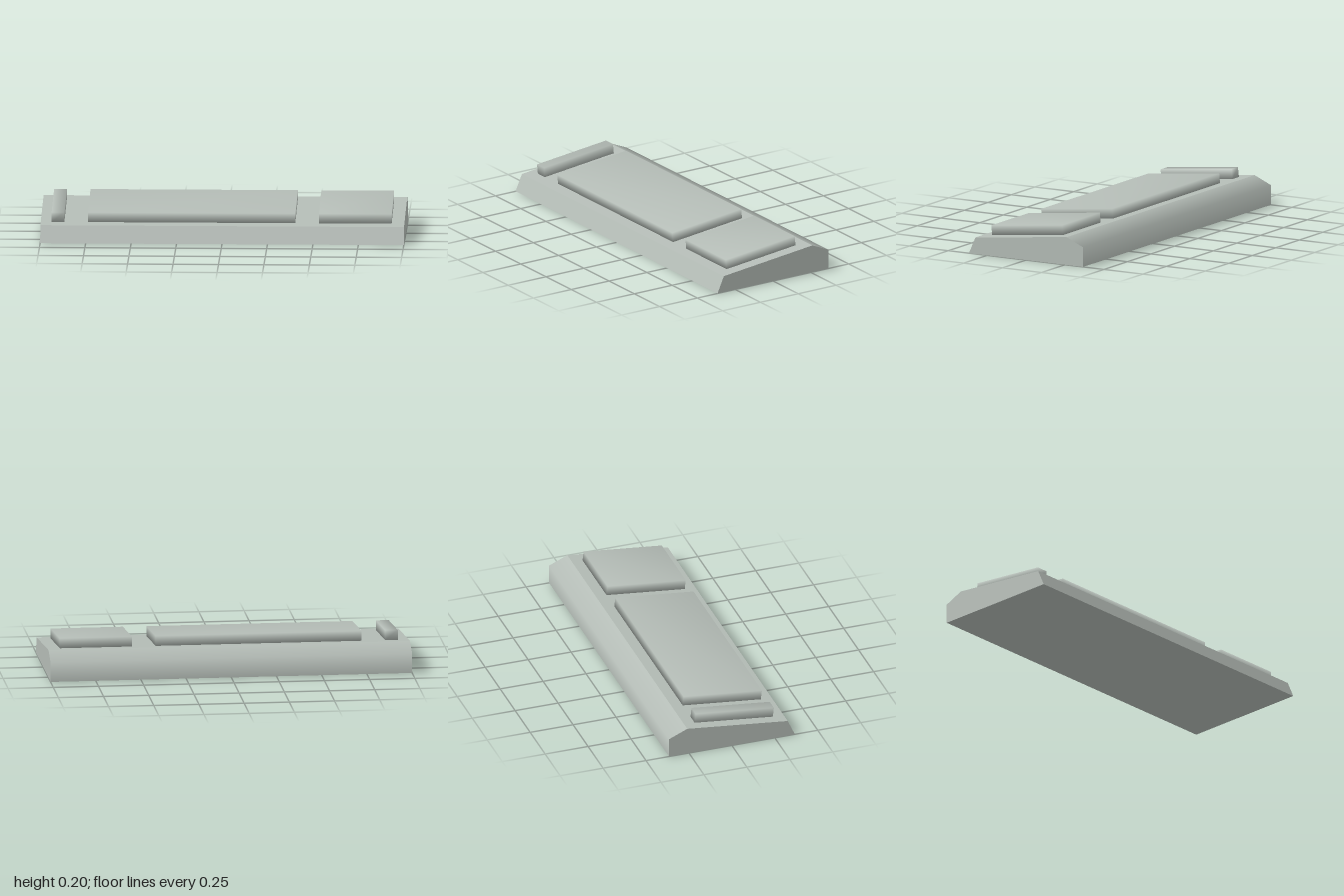
import * as THREE from 'three';
import { mergeVertices } from 'three/addons/utils/BufferGeometryUtils.js';

const WIDTH = 2;
const SLOPE = 0.107; // tilt of the top face

// Wedge-shaped housing: side profile (z, y) extruded across x
function housingGeometry() {
  const profile = [[0.367, 0], [0.325, 0.093], [-0.26, 0.156], [-0.366, 0.11], [-0.366, 0]];
  const shape = new THREE.Shape(profile.map(([z, y]) => new THREE.Vector2(z, y)));
  const geo = new THREE.ExtrudeGeometry(shape, { depth: WIDTH, bevelEnabled: false });
  geo.translate(0, 0, -WIDTH / 2);
  geo.rotateY(-Math.PI / 2);
  // Soften the edge between the rear slope and the back wall
  const pos = geo.attributes.position;
  const nor = geo.attributes.normal;
  for (let i = 0; i < pos.count; i++) {
    const onEdge = Math.abs(pos.getY(i) - 0.11) < 1e-4 && pos.getZ(i) < -0.3;
    if (onEdge && Math.abs(nor.getX(i)) < 0.5) nor.setXYZ(i, 0, 0.547, -0.837);
  }
  return geo;
}

// Raised block with shared corner normals, so it shades softly
function blockGeometry(width) {
  const box = new THREE.BoxGeometry(width, 0.055, 0.458);
  box.deleteAttribute('normal');
  box.deleteAttribute('uv');
  const geo = mergeVertices(box);
  geo.computeVertexNormals();
  return geo;
}

export function createModel() {
  const model = new THREE.Group();
  model.name = 'keyboard';
  const plastic = new THREE.MeshStandardMaterial({ color: 0xb4bcb6 });
  plastic.name = 'grey plastic';

  const add = (name, geo) => {
    const mesh = new THREE.Mesh(geo, plastic);
    mesh.name = name;
    model.add(mesh);
    return mesh;
  };

  add('housing', housingGeometry());

  // Key blocks resting on the sloped top: name, left x, right x
  const blocks = [
    ['functionKeyStrip', -0.94, -0.87],
    ['mainKeyBlock', -0.74, 0.4],
    ['numberPad', 0.53, 0.93],
  ];
  for (const [name, x0, x1] of blocks) {
    const block = add(name, blockGeometry(x1 - x0));
    block.position.set((x0 + x1) / 2, 0.152, 0.035);
    block.rotation.x = SLOPE;
  }
  return model;
}
